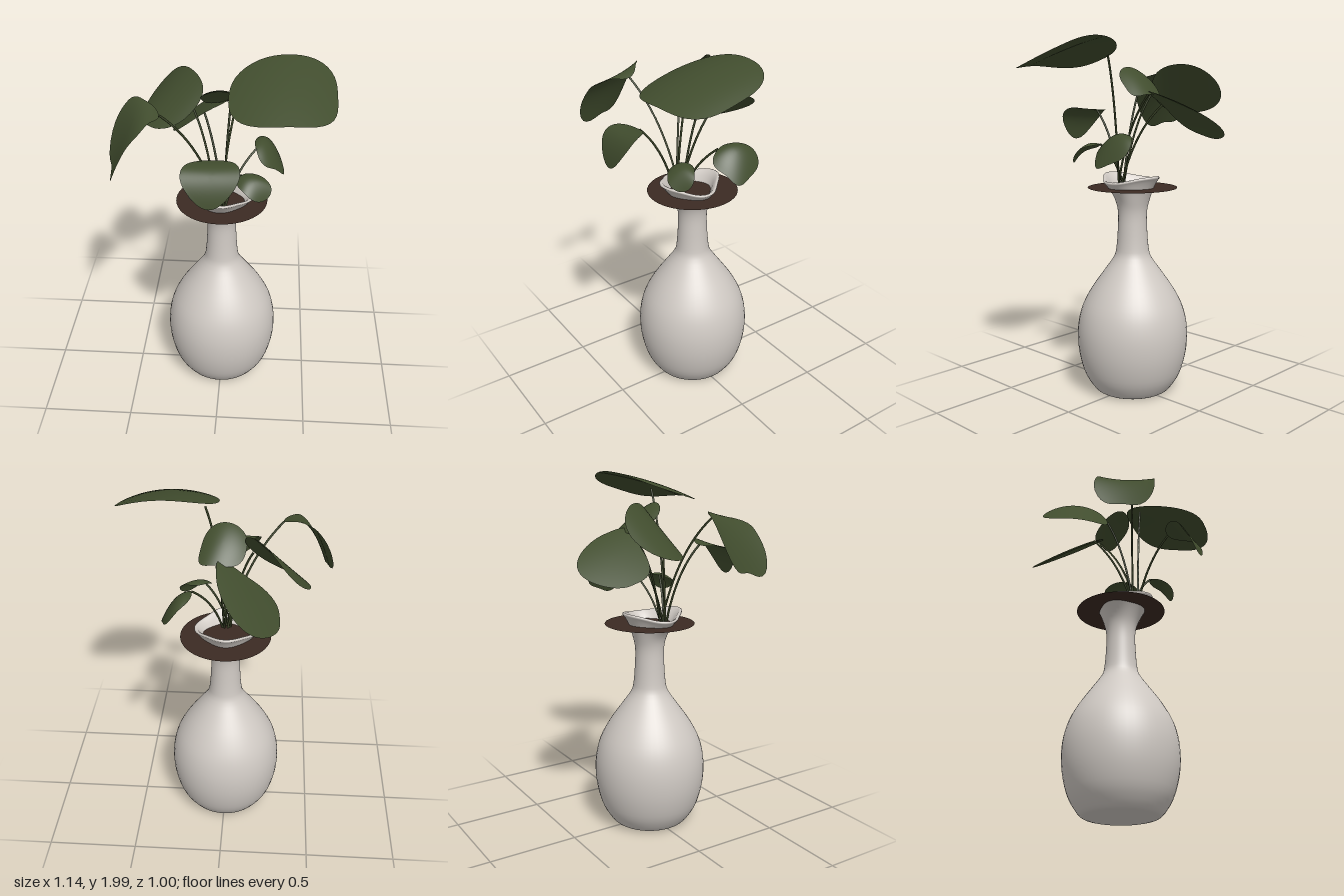
import * as THREE from 'three';
import { mergeVertices } from 'three/addons/utils/BufferGeometryUtils.js';

const mat = (name, color, side = THREE.FrontSide) => {
  const m = new THREE.MeshStandardMaterial({ color, side });
  m.name = name;
  return m;
};
const V = (p) => new THREE.Vector3(...p);

// Each leaf: base, middle and tip of the midrib, then the two side extremes;
// lobes says how far the outline swells (or tapers) beside the base and the tip;
// joint is where the stem meets the blade, if not at the base
const LEAVES = [
  { name: 'topLeaf', lobes: [0.09, 0.1], joint: [0.11, 1.9, 0.08], pts: [[0.045, 1.875, 0.2], [0.31, 1.93, 0.17], [0.57, 1.87, 0.15], [0.33, 1.99, -0.075], [0.33, 1.84, 0.425]] },
  { name: 'backLeaf', lobes: [0.15, -0.03], pts: [[-0.1, 1.63, -0.13], [-0.12, 1.585, -0.31], [-0.13, 1.525, -0.505], [-0.29, 1.455, -0.29], [0.03, 1.68, -0.26]] },
  { name: 'backRightLeaf', lobes: [0.06, 0], pts: [[-0.145, 1.7, -0.02], [-0.28, 1.73, -0.15], [-0.36, 1.7, -0.33], [-0.41, 1.58, -0.08], [-0.175, 1.85, -0.2]] },
  { name: 'innerLeaf', lobes: [0.15, 0.05], pts: [[0.04, 1.69, -0.155], [0.01, 1.78, -0.06], [0, 1.835, 0.035], [-0.11, 1.74, -0.06], [0.12, 1.74, -0.05]] },
  { name: 'rightLeaf', lobes: [-0.2, 0.23], pts: [[-0.295, 1.77, 0.2], [-0.42, 1.745, 0.21], [-0.54, 1.505, 0.25], [-0.465, 1.785, 0.065], [-0.41, 1.71, 0.385]] },
  { name: 'frontLeaf', lobes: [0.02, -0.05], pts: [[-0.03, 1.59, 0.31], [-0.03, 1.57, 0.43], [-0.03, 1.42, 0.495], [-0.175, 1.565, 0.425], [0.115, 1.585, 0.435]] },
  { name: 'backLeftLeaf', lobes: [0.12, 0.08], pts: [[0.18, 1.47, -0.04], [0.255, 1.46, -0.11], [0.325, 1.335, -0.14], [0.235, 1.45, -0.22], [0.29, 1.365, -0.01]] },
  { name: 'lowFrontLeaf', lobes: [0.15, 0], pts: [[0.115, 1.415, 0.14], [0.18, 1.405, 0.195], [0.235, 1.315, 0.225], [0.25, 1.39, 0.16], [0.135, 1.365, 0.25]] },
];

// Heart-like disc bent into a smooth double curve through the five points
function leafGeometry([base, mid, tip, left, right], [baseLobe, tipLobe]) {
  const along = tip.clone().sub(base).multiplyScalar(0.5);
  const alongBend = tip.clone().add(base).multiplyScalar(0.5).sub(mid);
  const across = left.clone().sub(right).multiplyScalar(0.5);
  const acrossBend = left.clone().add(right).multiplyScalar(0.5).sub(mid);
  let geo = new THREE.RingGeometry(0, 1, 48, 8);
  const pos = geo.attributes.position;
  for (let i = 0; i < pos.count; i++) {
    const x = pos.getX(i), y = pos.getY(i);
    const phi = Math.atan2(y, x);
    const lobe = 1 + (x < 0 ? baseLobe : tipLobe) * Math.sin(2 * phi) ** 2;
    const a = x * lobe, b = y * lobe;
    const p = mid.clone()
      .addScaledVector(along, a).addScaledVector(alongBend, a * a)
      .addScaledVector(across, b).addScaledVector(acrossBend, b * b);
    pos.setXYZ(i, p.x, p.y, p.z);
  }
  geo.deleteAttribute('uv');
  geo.deleteAttribute('normal');
  geo = mergeVertices(geo, 1e-5);
  geo.computeVertexNormals();
  return geo;
}

// Turned bottle vase whose mouth becomes a four-cornered wavy lip
function vaseGeometry() {
  const outer = [
    [0.2, 0.005], [0.225, 0.025], [0.272, 0.1], [0.302, 0.2], [0.314, 0.3], [0.309, 0.4], [0.283, 0.5],
    [0.23, 0.6], [0.16, 0.7], [0.105, 0.78], [0.09, 0.84], [0.082, 0.95], [0.081, 1.03],
    [0.092, 1.09], [0.118, 1.15], [0.15, 1.2], [0.167, 1.22],
  ];
  const inner = [[0.167, 1.227], [0.16, 1.231], [0.15, 1.226], [0.13, 1.2], [0.1, 1.15], [0.077, 1.09], [0.068, 1.0], [0.068, 0.85]];
  const curve = new THREE.SplineCurve(outer.map(([r, y]) => new THREE.Vector2(r, y)));
  const profile = [new THREE.Vector2(0, 0), new THREE.Vector2(0.18, 0), ...curve.getPoints(48),
    ...inner.map(([r, y]) => new THREE.Vector2(r, y))];
  let geo = new THREE.LatheGeometry(profile, 48);
  const pos = geo.attributes.position;
  for (let i = 0; i < pos.count; i++) {
    const x = pos.getX(i), y = pos.getY(i), z = pos.getZ(i);
    const t = THREE.MathUtils.smoothstep(y, 1.08, 1.23);
    const ang = Math.atan2(x, z);
    const k = 1 + t * 0.07 * Math.cos(4 * ang);
    pos.setXYZ(i, x * k - 0.005 * t, y + t * 0.016 * Math.cos(2 * ang), z * k + 0.015 * t);
  }
  geo.deleteAttribute('uv');
  geo.deleteAttribute('normal');
  geo = mergeVertices(geo, 1e-5);
  geo.computeVertexNormals();
  return geo;
}

export function createModel() {
  const model = new THREE.Group();
  model.name = 'pottedPlant';
  const ceramic = mat('ceramic', 0xd0cac4, THREE.DoubleSide);
  const soil = mat('soil', 0x3c2a23, THREE.DoubleSide);
  const leafGreen = mat('leafGreen', 0x414d2e, THREE.DoubleSide);
  const stemGreen = mat('stemGreen', 0x394226);

  const add = (name, geo, material, parent = model) => {
    const mesh = new THREE.Mesh(geo, material);
    mesh.name = name;
    parent.add(mesh);
    return mesh;
  };

  add('vase', vaseGeometry(), ceramic);

  // Flat soil disc, wider than the neck
  const disc = add('soilDisc', new THREE.CircleGeometry(0.25, 48), soil);
  disc.rotation.x = -Math.PI / 2;
  disc.position.y = 1.175;

  // Leaves, each on a thin arching stem rooted near the front of the mouth
  LEAVES.forEach(({ name, lobes, pts, joint = pts[0] }, i) => {
    const plant = new THREE.Group();
    plant.name = name;
    model.add(plant);
    add('blade', leafGeometry(pts.map(V), lobes), leafGreen, plant);

    const end = V(joint);
    const root = new THREE.Vector3(0.02 * Math.sin(i * 2.4), 1.16, 0.09 + 0.015 * Math.cos(i * 2.4));
    const bend = root.clone().lerp(end, 0.3);
    bend.y = THREE.MathUtils.lerp(root.y, end.y, 0.68);
    const path = new THREE.QuadraticBezierCurve3(root, bend, end);
    add('stem', new THREE.TubeGeometry(path, 16, 0.006, 6), stemGreen, plant);
  });

  return model;
}
